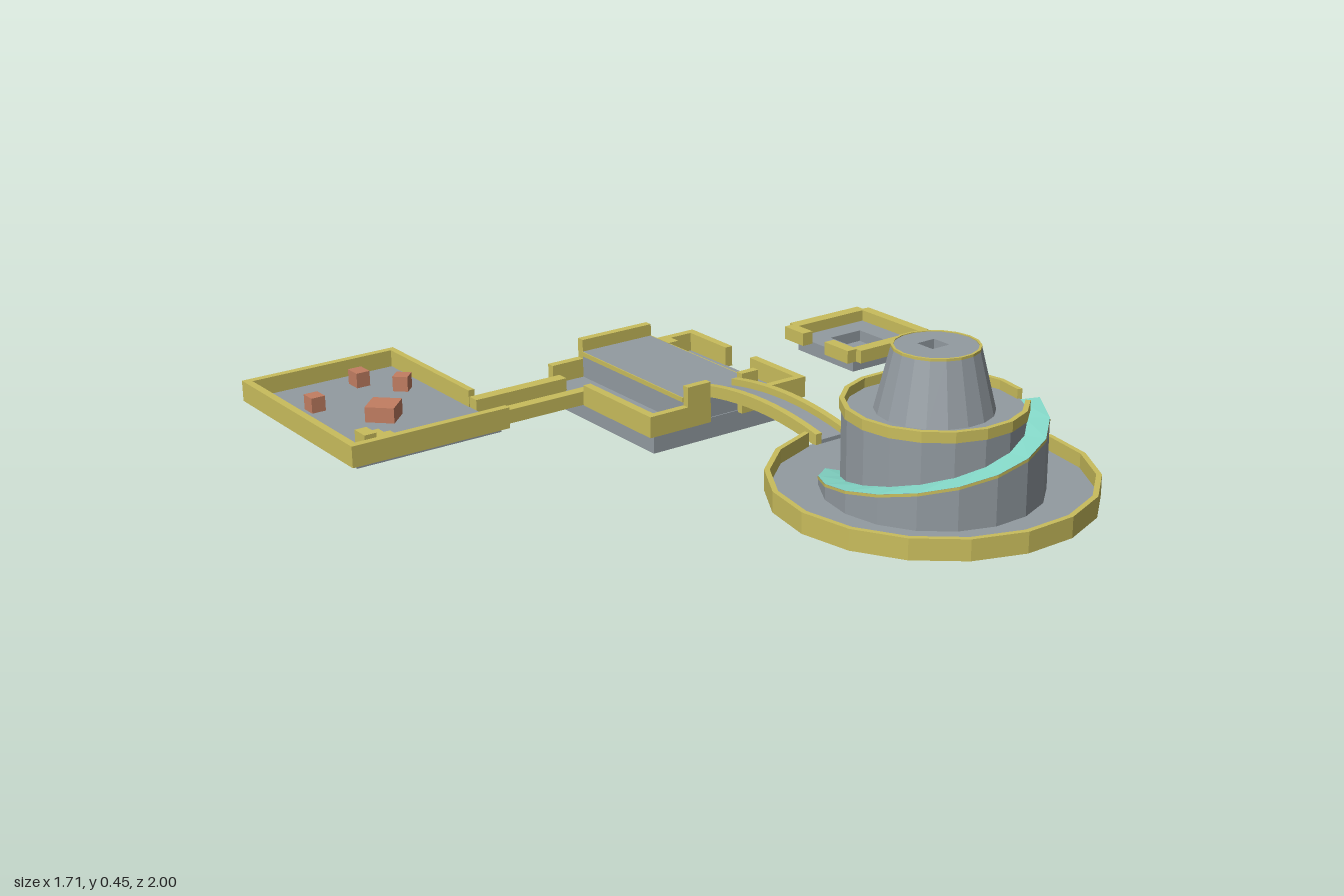
import * as THREE from 'three';

export function createModel() {
  const model = new THREE.Group();
  const mat = (name, color) => {
    const m = new THREE.MeshStandardMaterial({ color });
    m.name = name;
    return m;
  };
  const stone = mat('grey stone', 0x939ba1);
  const trim = mat('ochre trim', 0xc9bd5c);
  const teal = mat('teal ramp', 0x84d8c8);
  const clay = mat('orange clay', 0xc27e62);

  // Every mesh gets flat, faceted normals
  const add = (name, geo, material) => {
    const g = geo.index ? geo.toNonIndexed() : geo;
    g.computeVertexNormals();
    const mesh = new THREE.Mesh(g, material);
    mesh.name = name;
    model.add(mesh);
    return mesh;
  };
  const box = (name, material, x0, x1, y0, y1, z0, z1) =>
    add(name, new THREE.BoxGeometry(x1 - x0, y1 - y0, z1 - z0)
      .translate((x0 + x1) / 2, (y0 + y1) / 2, (z0 + z1) / 2), material);
  const pit = (name, w, h, x, yTop, z) =>
    add(name, new THREE.BoxGeometry(w, h, w).scale(1, -1, 1).translate(x, yTop - h / 2, z), stone);
  const squareHole = (w, x = 0, y = 0) => new THREE.Path().setFromPoints(
    [[-1, -1], [-1, 1], [1, 1], [1, -1]].map(([a, b]) => new THREE.Vector2(x + a * w / 2, y + b * w / 2)));

  // ---------- Round terrace and tower ----------
  const CX = 0.045, CZ = 0.628, SIDES = 18;
  const rad = THREE.MathUtils.degToRad;
  const drum = (name, rTop, rBottom, y0, y1, open = false) =>
    add(name, new THREE.CylinderGeometry(rTop, rBottom, y1 - y0, SIDES, 1, open, Math.PI / 2)
      .translate(CX, (y0 + y1) / 2, CZ), stone);
  // Faceted ring wall between two angles in degrees
  const ring = (name, ro, ri, y0, y1, a0, a1) => {
    const pts = [];
    for (let a = a0; a <= a1; a += 20) pts.push(new THREE.Vector2(ro * Math.cos(rad(a)), ro * Math.sin(rad(a))));
    for (let a = a1; a >= a0; a -= 20) pts.push(new THREE.Vector2(ri * Math.cos(rad(a)), ri * Math.sin(rad(a))));
    add(name, new THREE.ExtrudeGeometry(new THREE.Shape(pts), { depth: y1 - y0, bevelEnabled: false })
      .rotateX(Math.PI / 2).translate(CX, y1, CZ), trim);
  };
  drum('terraceFloor', 0.372, 0.372, 0.101, 0.115);
  ring('terraceRim', 0.378, 0.365, 0.1, 0.15, 280, 620);
  drum('towerDrum', 0.207, 0.207, 0.115, 0.302);
  ring('towerParapet', 0.212, 0.2, 0.3, 0.325, 40, 380);
  drum('towerCone', 0.1, 0.137, 0.3, 0.45, true);
  ring('coneEdge', 0.101, 0.095, 0.446, 0.452, 0, 360);
  const cap = new THREE.Shape();
  for (let i = 0; i < SIDES; i++) {
    const a = rad(i * 20), x = 0.1 * Math.cos(a), y = 0.1 * Math.sin(a);
    i ? cap.lineTo(x, y) : cap.moveTo(x, y);
  }
  cap.holes.push(squareHole(0.05, 0, 0.01));
  add('coneTop', new THREE.ShapeGeometry(cap).rotateX(-Math.PI / 2).translate(CX, 0.45, CZ), stone);
  pit('coneShaft', 0.05, 0.05, CX, 0.45, CZ - 0.01);
  box('coneDoorway', stone, CX - 0.03, CX + 0.03, 0.3, 0.34, CZ - 0.13, CZ - 0.1);

  // Spiral ramp, falling from the parapet gap round the front to the back
  const body = [], path = [], lip = [];
  const quad = (out, a, b, c, d) => out.push(...a, ...b, ...c, ...a, ...c, ...d);
  const at = (r, a, y) => [CX + r * Math.cos(rad(a)), y, CZ + r * Math.sin(rad(a))];
  const RI = 0.2, RO = 0.256, Y0 = 0.114;
  const rampY = a => 0.3 - 0.18 * (a - 20) / 220;
  for (let a = 20; a < 240; a += 20) {
    const b = a + 20, ya = rampY(a), yb = rampY(b);
    quad(body, at(RO, a, Y0), at(RO, a, ya), at(RO, b, yb), at(RO, b, Y0));
    quad(path, at(RI, a, ya), at(RI, b, yb), at(RO, b, yb), at(RO, a, ya));
    quad(lip, at(RO + 0.001, a, ya - 0.007), at(RO + 0.001, a, ya), at(RO + 0.001, b, yb), at(RO + 0.001, b, yb - 0.007));
  }
  quad(body, at(RI, 20, Y0), at(RI, 20, 0.3), at(RO, 20, 0.3), at(RO, 20, Y0));
  quad(body, at(RO, 240, Y0), at(RO, 240, 0.12), at(RI, 240, 0.12), at(RI, 240, Y0));
  const faces = list => new THREE.BufferGeometry().setAttribute('position', new THREE.Float32BufferAttribute(list, 3));
  add('rampBody', faces(body), stone);
  add('rampPath', faces(path), teal);
  add('rampEdge', faces(lip), trim);

  // ---------- Arched bridge ----------
  const arch = (name, material, x0, x1, lift, height) => {
    const z0 = -0.16, z1 = 0.272, n = 10, low = [], high = [];
    for (let i = 0; i <= n; i++) {
      const z = z0 + (z1 - z0) * i / n;
      const y = 0.112 + lift + 0.022 * (1 - ((z - 0.055) / 0.216) ** 2);
      low.push(new THREE.Vector2(z, y));
      high.unshift(new THREE.Vector2(z, y + height));
    }
    add(name, new THREE.ExtrudeGeometry(new THREE.Shape([...low, ...high]), { depth: x1 - x0, bevelEnabled: false })
      .rotateY(-Math.PI / 2).translate(x1, 0, 0), material);
  };
  arch('bridgeDeck', stone, 0.018, 0.08, 0.001, 0.012);
  arch('bridgeRail', trim, 0, 0.018, 0, 0.03);
  arch('bridgeRail', trim, 0.08, 0.098, 0, 0.03);

  // ---------- Central hall ----------
  box('hallBase', stone, -0.165, 0.285, 0, 0.055, -0.61, -0.155);
  box('hallDais', stone, -0.07, 0.148, 0.055, 0.125, -0.609, -0.158);
  box('daisEdge', trim, -0.073, -0.07, 0.113, 0.125, -0.608, -0.16);
  box('daisEdge', trim, 0.148, 0.151, 0.113, 0.125, -0.608, -0.16);
  const hallWalls = [ // x0, x1, top, z0, z1
    [-0.165, -0.07, 0.105, -0.63, -0.608], [-0.07, 0.15, 0.157, -0.63, -0.608], [0.15, 0.305, 0.105, -0.63, -0.608],
    [-0.185, -0.07, 0.105, -0.16, -0.14], [-0.07, 0, 0.157, -0.16, -0.14],
    [0.098, 0.15, 0.157, -0.16, -0.14], [0.15, 0.305, 0.105, -0.16, -0.14],
    [0.283, 0.305, 0.105, -0.608, -0.45], [0.283, 0.305, 0.105, -0.345, -0.16],
    [-0.185, -0.163, 0.105, -0.435, -0.16],
  ];
  for (const [x0, x1, top, z0, z1] of hallWalls) box('hallWall', trim, x0, x1, 0.05, top, z0, z1);
  for (let i = 0; i < 3; i++)
    box('hallStair', trim, 0.148, 0.18, 0.055, 0.126 - i * 0.022, -0.57 + i * 0.046, -0.524 + i * 0.046);

  // ---------- Walkway rails to the courtyard ----------
  box('walkwayRail', trim, -0.435, -0.163, 0.052, 0.088, -0.58, -0.547);
  box('walkwayRail', trim, -0.435, -0.163, 0.052, 0.088, -0.465, -0.435);

  // ---------- Walled courtyard ----------
  box('courtyardFloor', stone, -0.838, -0.435, 0.038, 0.06, -0.98, -0.43);
  const yardWalls = [
    [-0.858, -0.42, -1, -0.98], [-0.858, -0.42, -0.432, -0.412],
    [-0.858, -0.838, -0.98, -0.432], [-0.437, -0.42, -0.98, -0.58],
  ];
  for (const [x0, x1, z0, z1] of yardWalls) box('courtyardWall', trim, x0, x1, 0.05, 0.105, z0, z1);
  for (let i = 0; i < 3; i++)
    box('courtyardStair', trim, -0.79 + i * 0.032, -0.758 + i * 0.032, 0.06, 0.098 - i * 0.012, -0.525, -0.475);
  const blocks = [ // x, z, width, depth, turn
    [-0.755, -0.802, 0.038, 0.042, 0], [-0.575, -0.903, 0.038, 0.046, 0],
    [-0.503, -0.804, 0.04, 0.04, 45], [-0.645, -0.645, 0.075, 0.075, 45],
  ];
  for (const [x, z, w, d, turn] of blocks)
    add('clayBlock', new THREE.BoxGeometry(w, 0.04, d).rotateY(rad(turn)).translate(x, 0.08, z), clay);

  // ---------- Small detached pavilion with a sunken square ----------
  const PX = 0.705, PZ = -0.398;
  const base = new THREE.Shape([[-1, -1], [1, -1], [1, 1], [-1, 1]].map(([a, b]) => new THREE.Vector2(a * 0.117, b * 0.117)));
  base.holes.push(squareHole(0.107));
  add('pavilionBase', new THREE.ExtrudeGeometry(base, { depth: 0.033, bevelEnabled: false })
    .rotateX(Math.PI / 2).translate(PX, 0.057, PZ), stone);
  box('pavilionUnderside', stone, PX - 0.117, PX + 0.117, 0.018, 0.026, PZ - 0.117, PZ + 0.117);
  const pavilionWalls = [
    [0.585, 0.832, -0.55, -0.515], [0.585, 0.832, -0.281, -0.245], [0.822, 0.853, -0.525, -0.271],
    [0.555, 0.588, -0.535, -0.455], [0.555, 0.588, -0.363, -0.265],
  ];
  for (const [x0, x1, z0, z1] of pavilionWalls) box('pavilionWall', trim, x0, x1, 0.052, 0.088, z0, z1);

  return model;
}
